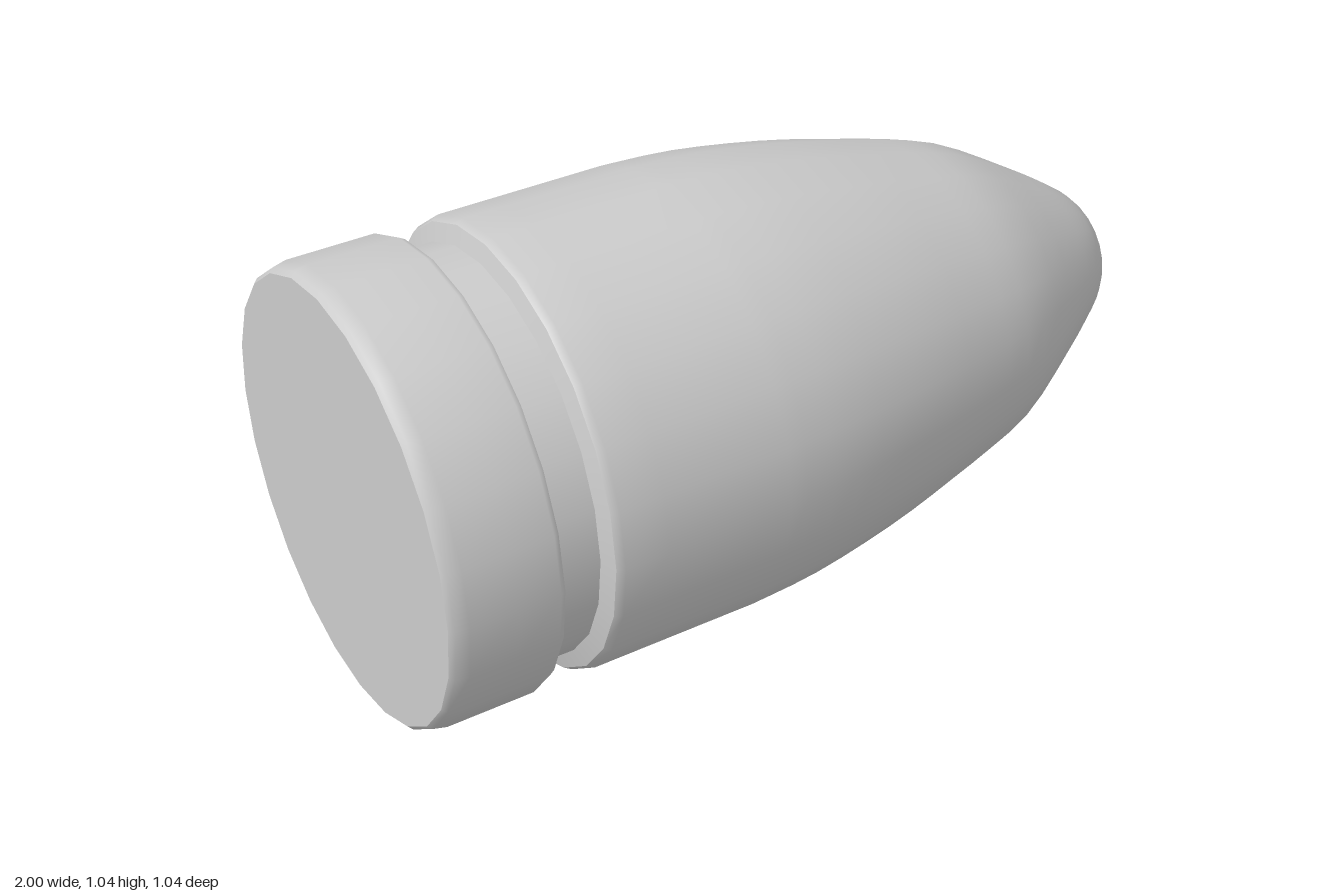
import * as THREE from 'three';

const SIDES = 24;
const RADIUS = 0.522;

export function createModel() {
  const model = new THREE.Group();
  const material = new THREE.MeshStandardMaterial({ color: 0xcccccc });

  // Turned section: points are [position along x, radius], from tail to nose.
  // Each section is its own lathe, so the edges between sections stay sharp.
  function turned(name, points) {
    const profile = points.map(([x, r]) => new THREE.Vector2(r, x));
    const geometry = new THREE.LatheGeometry(profile, SIDES);
    geometry.rotateZ(-Math.PI / 2);
    geometry.translate(0, RADIUS, 0);
    const mesh = new THREE.Mesh(geometry, material);
    mesh.name = name;
    model.add(mesh);
  }

  // Flat tail and the band in front of it, with softened rims
  turned('baseCap', [[-1, 0], [-1, 0.505]]);
  turned('baseBand', [
    [-1, 0.505], [-0.99, 0.515], [-0.96, RADIUS], [-0.85, RADIUS],
    [-0.755, RADIUS], [-0.742, 0.515],
  ]);

  // Groove cut around the body
  turned('grooveRearWall', [[-0.742, 0.515], [-0.73, 0.47]]);
  turned('grooveFloor', [[-0.73, 0.47], [-0.635, 0.47]]);
  turned('grooveFrontWall', [[-0.635, 0.47], [-0.622, 0.512]]);

  // Straight body flowing into the curved nose
  const nose = new THREE.SplineCurve([
    [-0.2, RADIUS], [-0.02, 0.51], [0.2, 0.474], [0.4, 0.426], [0.6, 0.366],
    [0.8, 0.252], [0.92, 0.172], [0.972, 0.116], [0.994, 0.06], [1, 0],
  ].map(([x, r]) => new THREE.Vector2(x, r)));
  turned('bodyAndNose', [
    [-0.622, 0.512], [-0.605, RADIUS], [-0.5, RADIUS], [-0.35, RADIUS],
    ...nose.getPoints(27).map((p) => [p.x, Math.max(p.y, 0)]),
  ]);

  return model;
}
